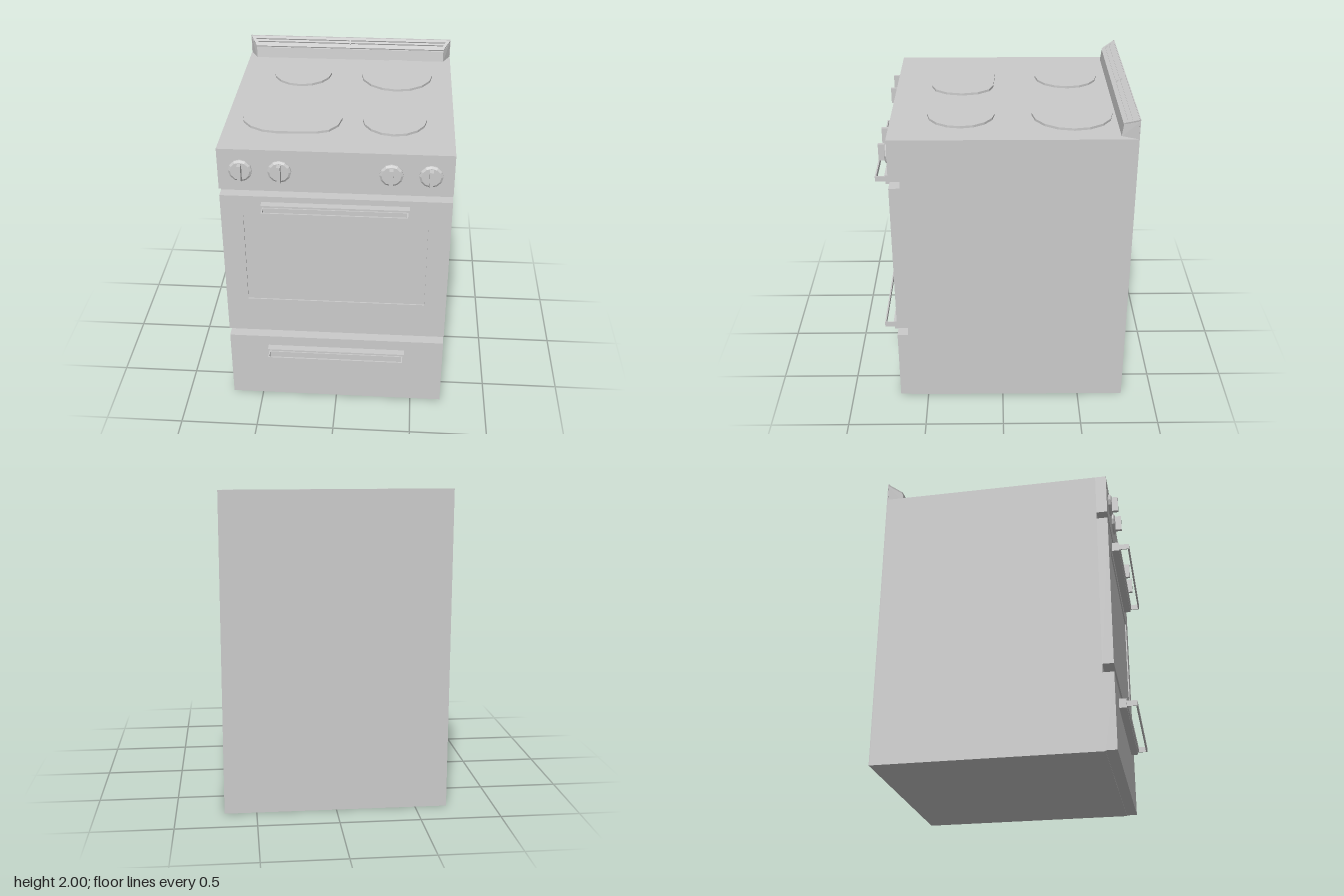
import * as THREE from 'three';

const material = new THREE.MeshStandardMaterial({ color: 0xcccccc, flatShading: true });

function add(parent, name, geometry, x = 0, y = 0, z = 0) {
  const mesh = new THREE.Mesh(geometry, material);
  mesh.name = name;
  mesh.position.set(x, y, z);
  parent.add(mesh);
  return mesh;
}

// Box given by its limits, symmetric about x = 0
function slab(parent, name, halfX, y0, y1, z0, z1) {
  return add(parent, name, new THREE.BoxGeometry(halfX * 2, y1 - y0, z1 - z0), 0, (y0 + y1) / 2, (z0 + z1) / 2);
}

const polygon = (pts, Type = THREE.Shape) => new Type(pts.map(p => new THREE.Vector2(...p)));
const rect = (x0, y0, x1, y1) => [[x0, y0], [x1, y0], [x1, y1], [x0, y1]];
const extrude = (shape, depth) => new THREE.ExtrudeGeometry(shape, { depth, bevelEnabled: false });

// Prism with tapered ends: every profile point is [z, y, half width]
function taperedPrism(profile) {
  const n = profile.length, pos = [], idx = [];
  for (const side of [1, -1]) for (const [z, y, w] of profile) pos.push(side * w, y, z);
  for (let i = 0; i < n; i++) {
    const j = (i + 1) % n;
    idx.push(i, n + j, n + i, i, j, n + j);
  }
  for (let i = 1; i < n - 1; i++) idx.push(0, i + 1, i, n, n + i, n + i + 1);
  const g = new THREE.BufferGeometry();
  g.setAttribute('position', new THREE.Float32BufferAttribute(pos, 3));
  g.setIndex(idx);
  const flat = g.toNonIndexed();
  flat.computeVertexNormals();
  return flat;
}

// Mounting rail with a thin open loop as grip
function makeHandle(name, y) {
  const handle = new THREE.Group();
  handle.name = name;
  slab(handle, 'handleRail', 0.447, -0.03, 0.03, 0.68, 0.73);
  const loop = polygon(rect(-0.437, -0.795, 0.437, -0.729));
  loop.holes.push(polygon(rect(-0.43, -0.786, 0.43, -0.737), THREE.Path));
  add(handle, 'handleLoop', extrude(loop, 0.036), 0, -0.018, 0).rotation.x = -Math.PI / 2;
  handle.position.y = y;
  return handle;
}

function makeKnob(x) {
  const knob = new THREE.Group();
  knob.name = 'knob';
  const profile = [[0, 0], [0.06, 0], [0.071, 0.005], [0.071, 0.013], [0.058, 0.022], [0, 0.022]];
  const dial = new THREE.LatheGeometry(profile.map(p => new THREE.Vector2(...p)), 12);
  add(knob, 'knobDial', dial).rotation.x = Math.PI / 2;
  add(knob, 'knobGrip', new THREE.BoxGeometry(0.022, 0.105, 0.045), 0, 0, 0.039);
  knob.position.set(x, 1.74, 0.684);
  return knob;
}

// Flat hotplate from an outline given in x and z
function addHotplate(parent, name, pts, x, z) {
  const plate = extrude(polygon(pts.map(([px, pz]) => [px, -pz])), 0.017);
  add(parent, name, plate, x, 1.873, z).rotation.x = -Math.PI / 2;
}

export function createModel() {
  const cooker = new THREE.Group();
  cooker.name = 'cooker';

  // Cabinet with the control panel standing forward at the top
  slab(cooker, 'cabinet', 0.7, 0, 1.875, -0.789, 0.615);
  slab(cooker, 'controlPanel', 0.7, 1.605, 1.875, 0.615, 0.684);
  slab(cooker, 'backPanel', 0.7, 0, 2, -0.795, -0.789);

  // Oven door with a shallow window recess
  const door = polygon(rect(-0.7, 0.545, 0.7, 1.56));
  door.holes.push(polygon(rect(-0.5625, 0.795, 0.5625, 1.42), THREE.Path));
  add(cooker, 'ovenDoor', extrude(door, 0.069), 0, 0, 0.615);
  slab(cooker, 'ovenWindow', 0.5625, 0.795, 1.42, 0.615, 0.676);
  cooker.add(makeHandle('ovenHandle', 1.492));

  // Storage drawer
  slab(cooker, 'drawer', 0.7, 0.005, 0.49, 0.615, 0.684);
  cooker.add(makeHandle('drawerHandle', 0.388));

  for (const x of [-0.563, -0.33, 0.33, 0.563]) cooker.add(makeKnob(x));

  // Three round hotplates and one oval
  const arc = (cx, rx, rz, from, to, n) => Array.from({ length: n + 1 }, (_, i) => {
    const a = from + (to - from) * i / n;
    return [cx + rx * Math.cos(a), rz * Math.sin(a)];
  });
  for (const [x, z, rx, rz] of [
    [-0.296, -0.427, 0.193, 0.204],
    [0.336, -0.427, 0.237, 0.248],
    [0.336, 0.254, 0.197, 0.207],
  ]) addHotplate(cooker, 'hotplate', arc(0, rx, rz, 0, Math.PI * 2, 16).slice(0, 16), x, z);
  const h = Math.PI / 2;
  addHotplate(cooker, 'ovalHotplate', [
    ...arc(0.166, 0.145, 0.2, -h, h, 6),
    ...arc(-0.07, 0.239, 0.212, h, 3 * h, 8),
  ], -0.296, 0.254);

  // Rear vent: tapered base under a sloping plate with four slots
  add(cooker, 'ventBase', taperedPrism([
    [-0.695, 1.87, 0.65], [-0.705, 1.947, 0.65], [-0.794, 1.989, 0.7], [-0.794, 1.87, 0.7],
  ]));
  const vent = polygon([[-0.65, 0], [0.65, 0], [0.7, 0.095], [-0.7, 0.095]]);
  for (const s of [1, -1]) {
    for (const [v0, v1, w0, w1] of [[0.025, 0.044, 0.642, 0.65], [0.054, 0.07, 0.656, 0.664]]) {
      vent.holes.push(polygon([[s * 0.005, v0], [s * w0, v0], [s * w1, v1], [s * 0.005, v1]], THREE.Path));
    }
  }
  const plate = add(cooker, 'ventPlate', extrude(vent, 0.01), 0, 1.948, -0.709);
  plate.rotation.x = -Math.atan2(0.09, 0.043);

  return cooker;
}
